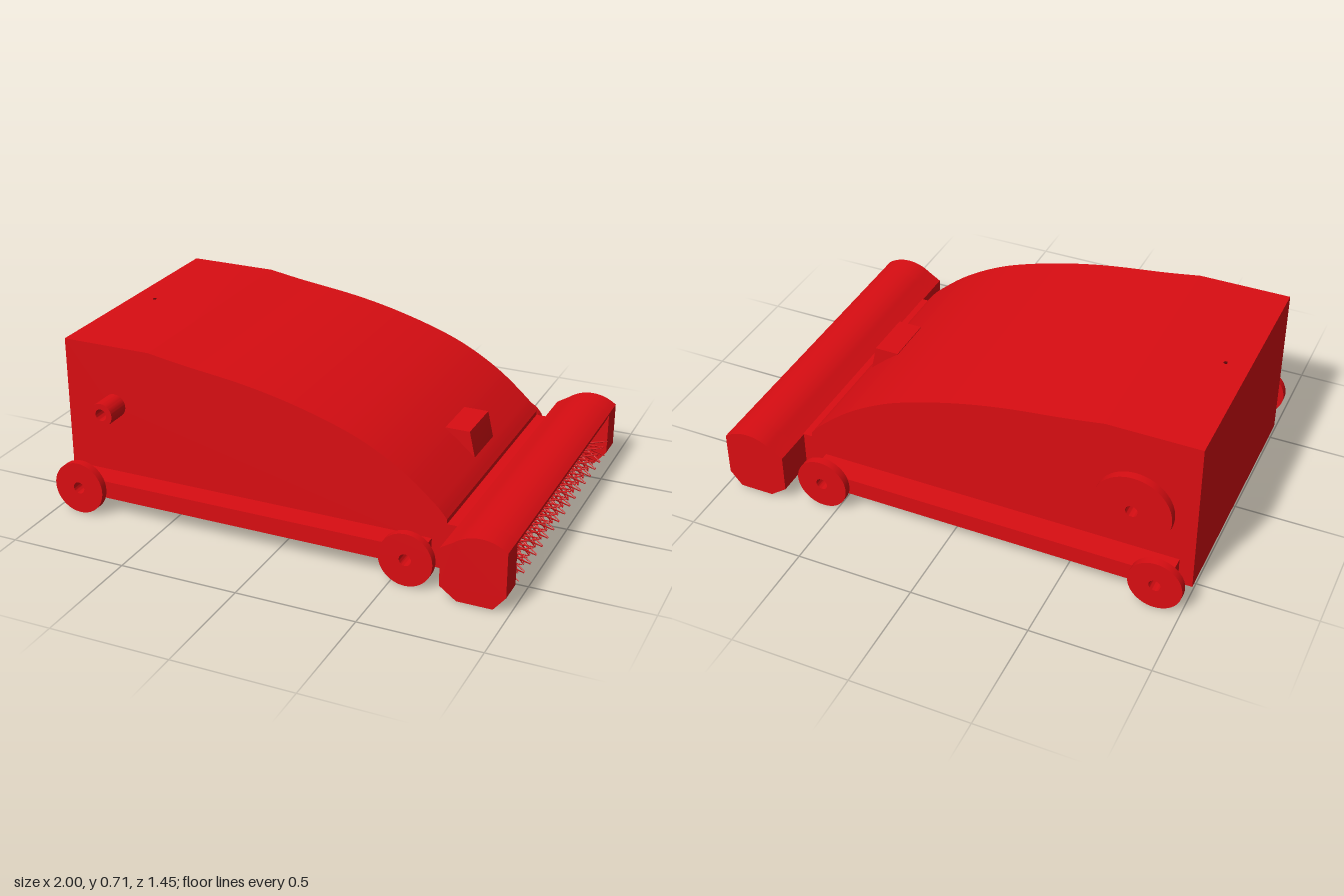
import * as THREE from 'three';
import { mergeGeometries, toCreasedNormals } from 'three/addons/utils/BufferGeometryUtils.js';

const red = new THREE.MeshStandardMaterial({ color: 0xd90d12 });
const darkRed = new THREE.MeshStandardMaterial({ color: 0x5a0507 });

// Extrudes an x-y outline between two z values, with optional round holes [x, y, r]
function slab(shape, z0, z1, holes = []) {
  for (const [x, y, r] of holes) {
    shape.holes.push(new THREE.Path().absarc(x, y, r, 0, Math.PI * 2, true));
  }
  const geo = new THREE.ExtrudeGeometry(shape, { depth: z1 - z0, bevelEnabled: false, curveSegments: 28 });
  geo.translate(0, 0, z0);
  return toCreasedNormals(geo, 0.4);
}

const polygon = (pts) => new THREE.Shape(pts.map(([x, y]) => new THREE.Vector2(x, y)));
const rect = (x0, y0, x1, y1) => polygon([[x0, y0], [x1, y0], [x1, y1], [x0, y1]]);
const disc = (x, y, r) => new THREE.Shape().absarc(x, y, r, 0, Math.PI * 2, false);

const WHEEL_Y = 0.117, BORE = 0.025;
const WHEELS_X = [-0.89, 0.565];
const CRANK = [-0.78, 0.455];
const BRUSH = [0.88, 0.125];

// Arc of the hood around the brush, from front lip to rear
function hoodArc(r, a0, a1, n = 16) {
  return Array.from({ length: n + 1 }, (_, i) => {
    const a = a0 + (a1 - a0) * i / n;
    return [0.88 + r * Math.cos(a), 0.13 + r * Math.sin(a)];
  });
}

function createModel() {
  const group = new THREE.Group();
  const add = (name, geo, material = red) => {
    const mesh = new THREE.Mesh(geo, material);
    mesh.name = name;
    group.add(mesh);
    return mesh;
  };

  // Main body with curved hood and through bores for axles and crank
  const body = new THREE.Shape();
  body.moveTo(-1, 0.032);
  body.lineTo(0.68, 0.032);
  body.lineTo(0.68, 0.25);
  body.splineThru([[0.63, 0.305], [0.5, 0.412], [0.35, 0.5], [0.2, 0.56], [0, 0.617],
    [-0.2, 0.657], [-0.45, 0.69], [-0.61, 0.715]].map(([x, y]) => new THREE.Vector2(x, y)));
  body.lineTo(-1, 0.715);
  const bores = [...WHEELS_X.map((x) => [x, WHEEL_Y, BORE]), [...CRANK, BORE]];
  add('body', slab(body, -0.55, 0.55, bores));

  // Small port on the flat top
  const port = add('topPort', new THREE.CylinderGeometry(0.008, 0.008, 0.002, 12), darkRed);
  port.position.set(-0.9, 0.7155, 0);

  // Grip block on the hood
  add('hoodBlock', slab(polygon([[0.5, 0.415], [0.5, 0.38], [0.63, 0.28], [0.63, 0.305], [0.605, 0.415]]), -0.11, 0.11));

  // Neck joining body and brush head
  add('neck', slab(rect(0.67, 0.07, 0.73, 0.23), -0.55, 0.55));

  // Side rails, wheels and crank bosses on both sides
  for (const side of [1, -1]) {
    const both = (a, b) => (side > 0 ? [a, b] : [-b, -a]);
    const label = side > 0 ? 'Front' : 'Back';
    add('rail' + label, slab(rect(-0.94, 0.08, 0.62, 0.155), ...both(0.545, 0.656),
      WHEELS_X.map((x) => [x, WHEEL_Y, BORE])));
    for (const x of WHEELS_X) {
      add('wheel' + label, slab(disc(x, WHEEL_Y, 0.112), ...both(0.655, 0.688), [[x, WHEEL_Y, BORE]]));
    }
    add('crankBoss' + label, slab(disc(...CRANK, 0.05), ...both(0.545, 0.656), [[...CRANK, BORE]]));
  }

  // Large hand disc on the back boss
  add('handDisc', slab(disc(...CRANK, 0.16), -0.688, -0.655, [[...CRANK, BORE]]));

  // Brush head: solid end caps and an open shell between them
  const outerArc = hoodArc(0.169, 0.9, 2.25);
  const capOutline = [[0.985, 0.075], [0.985, 0.255], ...outerArc, [0.72, 0.228], [0.72, 0.065], [0.79, 0.014], [0.935, 0.014]];
  for (const [z0, z1] of [[0.62, 0.727], [-0.727, -0.62]]) {
    add('headEndCap', slab(polygon(capOutline), z0, z1));
  }
  const shellOutline = [[0.985, 0.255], ...outerArc, [0.72, 0.228], [0.72, 0.065], [0.79, 0.014],
    [0.82, 0.014], [0.75, 0.063], [0.75, 0.205], ...hoodArc(0.139, 0.9, 2.25).reverse(), [0.972, 0.225]];
  add('headShell', slab(polygon(shellOutline), -0.621, 0.621));

  // Brush shaft
  const shaft = add('brushShaft', new THREE.CylinderGeometry(0.03, 0.03, 1.24, 20).rotateX(Math.PI / 2));
  shaft.position.set(...BRUSH, 0);

  // Bristles: rings of crossing pairs, leaning both ways along the shaft
  const bristles = [];
  const rings = 16, perRing = 10, up = new THREE.Vector3(0, 1, 0);
  for (let i = 0; i < rings; i++) {
    const z = -0.555 + 1.11 * i / (rings - 1);
    for (let j = 0; j < perRing; j++) {
      const a = (j + 0.3) / perRing * Math.PI * 2;
      for (const lean of [-0.033, 0.033]) {
        const dir = new THREE.Vector3(0.118 * Math.cos(a), 0.118 * Math.sin(a), lean);
        const length = dir.length();
        const geo = new THREE.CylinderGeometry(0.002, 0.006, length, 5).translate(0, length / 2, 0);
        geo.applyQuaternion(new THREE.Quaternion().setFromUnitVectors(up, dir.normalize()));
        bristles.push(geo.translate(BRUSH[0], BRUSH[1], z));
      }
    }
  }
  add('bristles', mergeGeometries(bristles));

  return group;
}

export { createModel };
